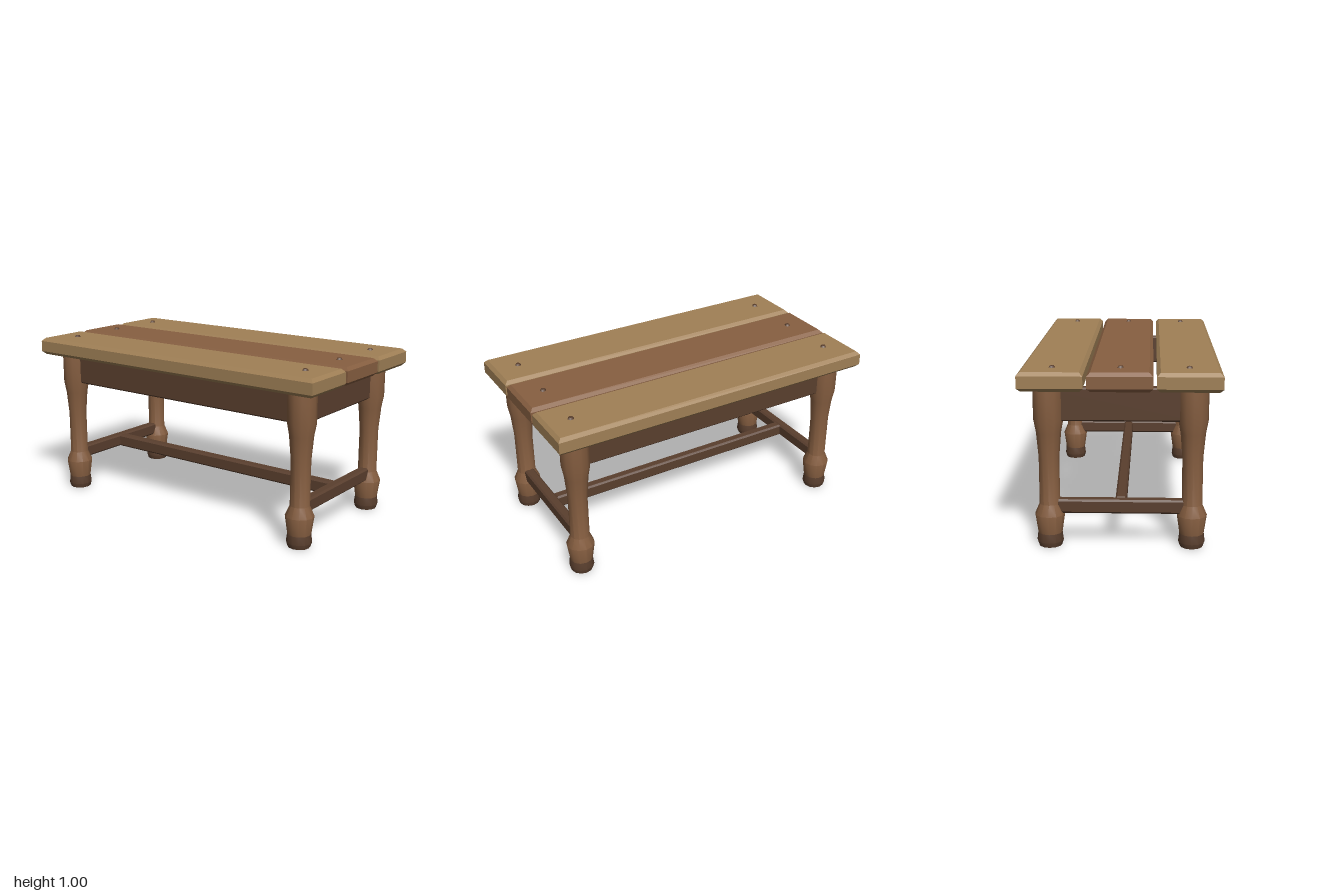
import * as THREE from 'three';
import { toCreasedNormals } from 'three/addons/utils/BufferGeometryUtils.js';

function material(name, color) {
  const m = new THREE.MeshStandardMaterial({ color });
  m.name = name;
  return m;
}

// Box with chamfered top and bottom edges
function chamferedBox(w, h, d, c) {
  const x = w / 2 - c, z = d / 2 - c;
  const shape = new THREE.Shape([[-x, -z], [x, -z], [x, z], [-x, z]].map(([a, b]) => new THREE.Vector2(a, b)));
  const g = new THREE.ExtrudeGeometry(shape, {
    depth: h - 2 * c, bevelEnabled: true, bevelThickness: c, bevelSize: c, bevelSegments: 1,
  });
  g.rotateX(-Math.PI / 2);
  g.translate(0, c - h / 2, 0);
  return g;
}

// Turned piece: smooth around, sharp at strong profile changes
function turned(profile) {
  const g = new THREE.LatheGeometry(profile.map(([r, y]) => new THREE.Vector2(r, y)), 12);
  return toCreasedNormals(g, 0.6);
}

export function createModel() {
  const table = new THREE.Group();
  table.name = 'table';

  const lightWood = material('light wood', 0xa08056);
  const redWood = material('reddish wood', 0x875f41);
  const darkWood = material('dark wood', 0x5a3f2e);

  function add(name, geometry, mat, x, y, z) {
    const mesh = new THREE.Mesh(geometry, mat);
    mesh.name = name;
    mesh.position.set(x, y, z);
    table.add(mesh);
    return mesh;
  }

  const legX = 0.852, legZ = 0.387;

  // Top planks with bolt heads
  const plank = chamferedBox(2, 0.103, 0.343, 0.019);
  const bolt = new THREE.CylinderGeometry(0.012, 0.02, 0.012, 6);
  bolt.rotateY(Math.PI / 6);
  for (const i of [-1, 0, 1]) {
    const z = i * 0.3625;
    add('plank', plank, i === 0 ? redWood : lightWood, 0, 0.9385, z);
    for (const s of [-1, 1]) add('bolt', bolt, darkWood, s * 0.85, 0.994, z);
  }

  // Turned legs with dark feet
  const leg = turned([
    [0, 0.075], [0.067, 0.075], [0.082, 0.18], [0.056, 0.24], [0.056, 0.5],
    [0.068, 0.64], [0.081, 0.71], [0.081, 0.888], [0, 0.888],
  ]);
  const foot = turned([[0, 0], [0.064, 0], [0.073, 0.028], [0.067, 0.075], [0, 0.075]]);
  for (const sx of [-1, 1]) {
    for (const sz of [-1, 1]) {
      add('leg', leg, redWood, sx * legX, 0, sz * legZ);
      add('foot', foot, darkWood, sx * legX, 0, sz * legZ);
    }
  }

  // Apron boards under the top
  const longApron = chamferedBox(2 * legX, 0.182, 0.064, 0.009);
  const sideApron = chamferedBox(0.064, 0.182, 2 * legZ, 0.009);
  for (const s of [-1, 1]) {
    add('longApron', longApron, darkWood, 0, 0.796, s * legZ);
    add('sideApron', sideApron, darkWood, s * legX, 0.796, 0);
  }

  // H-shaped stretcher between the legs
  const sideStretcher = chamferedBox(0.06, 0.078, 2 * legZ, 0.01);
  for (const s of [-1, 1]) add('sideStretcher', sideStretcher, darkWood, s * legX, 0.227, 0);
  add('longStretcher', chamferedBox(1.66, 0.078, 0.06, 0.01), darkWood, 0, 0.227, 0);

  return table;
}
